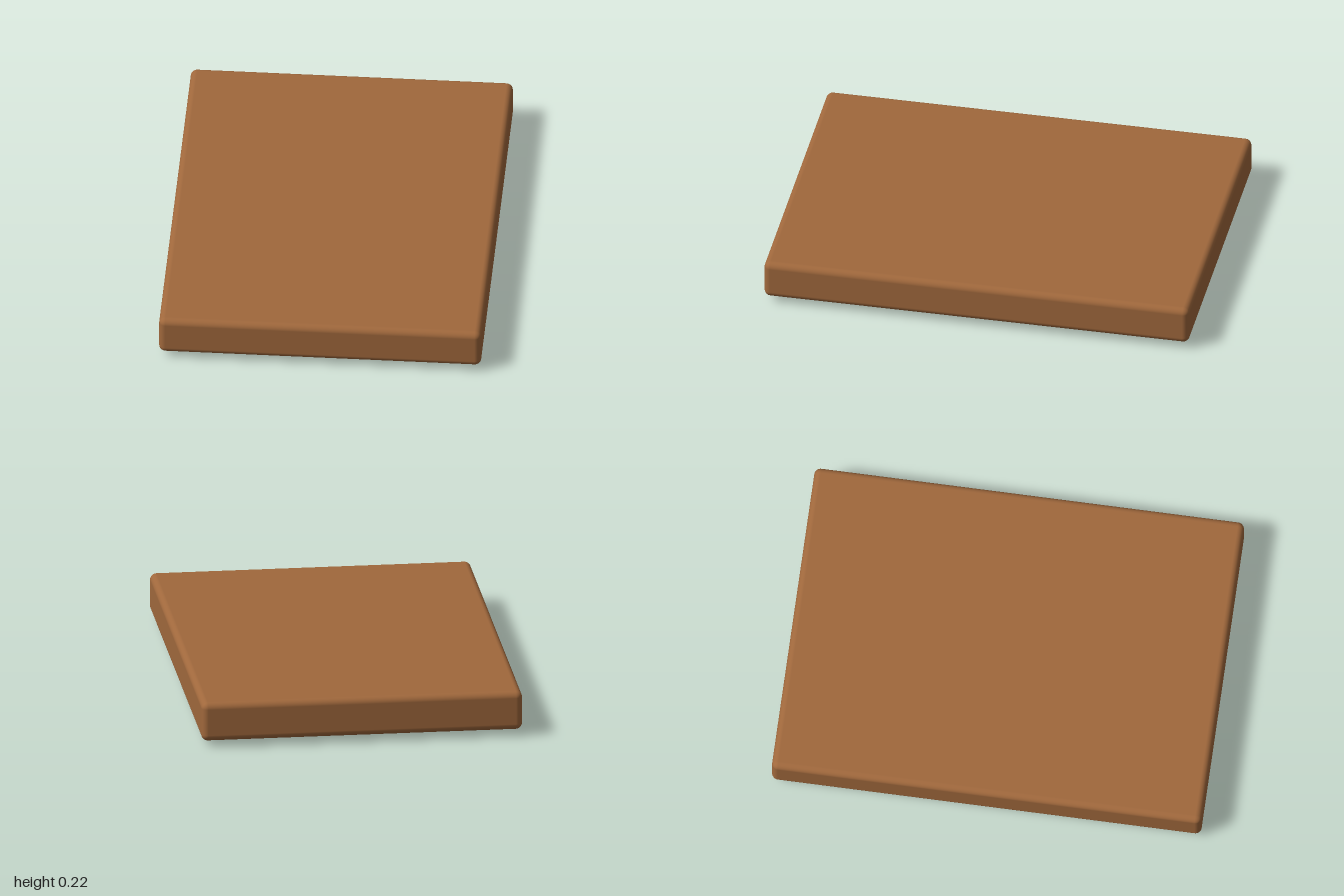
import * as THREE from 'three';
import { RoundedBoxGeometry } from 'three/addons/geometries/RoundedBoxGeometry.js';

const W = 1.49, L = 2, BOTTOM = 0.03, TOP = 0.215, R = 0.03; // outer shell
const IX = 0.635, IZ = 0.89, CEILING = 0.14; // half sizes and top of the recess

function rectPath(path, hx, hz) {
  path.moveTo(-hx, -hz);
  path.lineTo(hx, -hz);
  path.lineTo(hx, hz);
  path.lineTo(-hx, hz);
  path.closePath();
  return path;
}

// Rounded slab with its flat underside left out
function openSlab() {
  const h = TOP - BOTTOM;
  const slab = new RoundedBoxGeometry(W, h, L, 5, R);
  const p = slab.attributes.position, n = slab.attributes.normal;
  const pos = [], nor = [];
  for (let i = 0; i < p.count; i += 3) {
    const ids = [i, i + 1, i + 2];
    if (ids.every((k) => p.getY(k) < -h / 2 + 1e-4)) continue;
    for (const k of ids) {
      pos.push(p.getX(k), p.getY(k), p.getZ(k));
      nor.push(n.getX(k), n.getY(k), n.getZ(k));
    }
  }
  const g = new THREE.BufferGeometry();
  g.setAttribute('position', new THREE.Float32BufferAttribute(pos, 3));
  g.setAttribute('normal', new THREE.Float32BufferAttribute(nor, 3));
  return g.translate(0, (TOP + BOTTOM) / 2, 0);
}

// Flat frame around the recess, facing down
function rim() {
  const shape = rectPath(new THREE.Shape(), W / 2 - R, L / 2 - R);
  shape.holes.push(rectPath(new THREE.Path(), IX, IZ));
  return new THREE.ShapeGeometry(shape).rotateX(Math.PI / 2).translate(0, BOTTOM, 0);
}

// Inward-facing walls and ceiling: a mirrored box without its bottom
function recess() {
  const g = new THREE.BoxGeometry(2 * IX, CEILING - BOTTOM, 2 * IZ);
  const index = Array.from(g.index.array);
  index.splice(18, 6);
  g.setIndex(index);
  g.clearGroups();
  g.scale(-1, 1, 1).translate(0, (CEILING + BOTTOM) / 2, 0);
  g.computeVertexNormals();
  return g;
}

export function createModel() {
  const wood = new THREE.MeshStandardMaterial({ color: 0xa0683c });
  const brass = new THREE.MeshStandardMaterial({ color: 0xb08d45 });
  const model = new THREE.Group();
  model.name = 'trayLid';

  const add = (name, geometry, material) => {
    const mesh = new THREE.Mesh(geometry, material);
    mesh.name = name;
    model.add(mesh);
    return mesh;
  };

  add('shell', openSlab(), wood);
  add('rim', rim(), wood);
  add('recess', recess(), wood);

  // Long runners along both sides of the recess
  for (const [name, side] of [['leftRail', 1], ['rightRail', -1]]) {
    add(name, new RoundedBoxGeometry(0.028, 0.036, 2 * IZ, 4, 0.011), brass)
      .position.set(side * 0.63, 0.018, 0);
  }
  return model;
}
